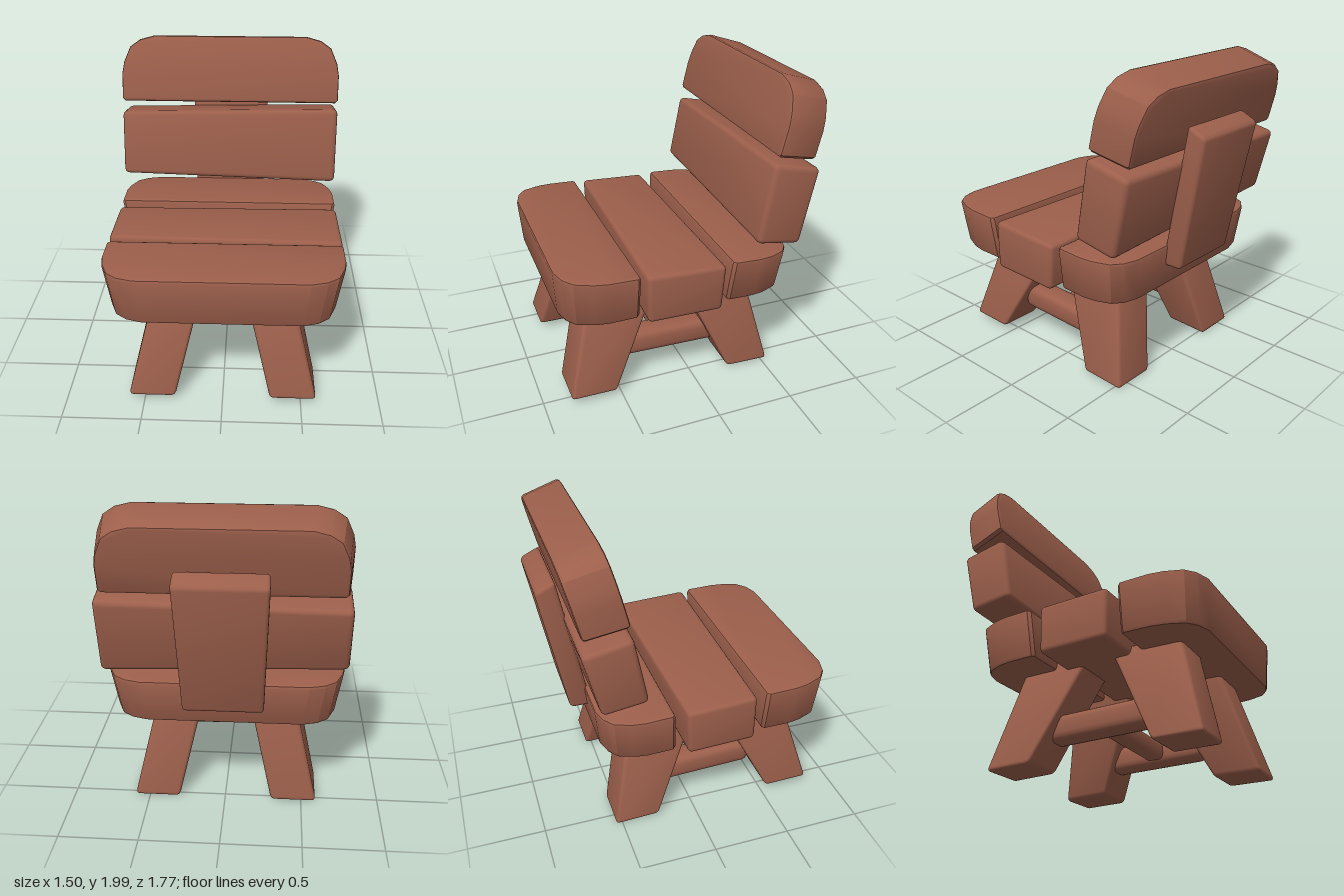
import * as THREE from 'three';
import { RoundedBoxGeometry } from 'three/addons/geometries/RoundedBoxGeometry.js';
import { toCreasedNormals } from 'three/addons/utils/BufferGeometryUtils.js';

const wood = new THREE.MeshStandardMaterial({ color: 0x9c5f4b });
const lerp = THREE.MathUtils.lerp;

// Bends a block onto side profiles. A profile lists [z, y] corners in the order
// back-bottom, back-top, front-top, front-bottom (of the block's own y and z).
// right/left are the profiles at the +x and -x ends; moveX reshapes the width.
function warp(geo, right, left = right, moveX = (x) => x) {
  geo.computeBoundingBox();
  const { min, max } = geo.boundingBox;
  const p = geo.attributes.position;
  const at = (q, i, v, w) =>
    lerp(lerp(q[0][i], q[1][i], v), lerp(q[3][i], q[2][i], v), w);
  for (let n = 0; n < p.count; n++) {
    const x = p.getX(n);
    const u = (x - min.x) / (max.x - min.x);
    const v = (p.getY(n) - min.y) / (max.y - min.y);
    const w = (p.getZ(n) - min.z) / (max.z - min.z);
    const z = lerp(at(left, 0, v, w), at(right, 0, v, w), u);
    const y = lerp(at(left, 1, v, w), at(right, 1, v, w), u);
    p.setXYZ(n, moveX(x, v, w), y, z);
  }
  return toCreasedNormals(geo, 0.5);
}

// Soft-edged squared block
const block = (w, h, d, r, ...shape) =>
  warp(new RoundedBoxGeometry(w, h, d, 2, r), ...shape);

// Plank with two rounded corners on its +y edge, narrowing towards one face
function roundedPlank(height, depth, profile, scaleBack, scaleFront) {
  const half = [[0.73, 0], [0.75, 0.04], [0.75, 0.42], [0.735, 0.6],
    [0.69, 0.83], [0.62, 0.94], [0.52, 1]];
  const pts = [...half, ...half.map(([x, v]) => [-x, v]).reverse()]
    .map(([x, v]) => new THREE.Vector2(x, v * height));
  const b = 0.02;
  const geo = new THREE.ExtrudeGeometry(new THREE.Shape(pts), {
    depth: depth - 2 * b, bevelSize: b, bevelThickness: b, bevelOffset: -b, bevelSegments: 2,
  });
  return warp(geo, profile, profile, (x, v, w) => x * lerp(scaleBack, scaleFront, w));
}

export function createModel() {
  const model = new THREE.Group();
  model.name = 'chair';
  const add = (name, geo) => {
    const mesh = new THREE.Mesh(geo, wood);
    mesh.name = name;
    model.add(mesh);
    return mesh;
  };

  // Seat
  add('frontSeatPlank', roundedPlank(0.47, 0.31,
    [[0.41, 0.945], [0.888, 0.962], [0.865, 0.64], [0.41, 0.64]], 1, 0.935));
  add('middleSeatPlank', block(1.5, 0.31, 0.49, 0.03,
    [[-0.115, 0.605], [-0.14, 0.91], [0.375, 0.937], [0.37, 0.617]],
    [[-0.1, 0.61], [-0.11, 0.915], [0.345, 0.937], [0.34, 0.625]]));
  add('rearSeatPlank', roundedPlank(0.44, 0.3,
    [[-0.168, 0.625], [-0.6, 0.612], [-0.632, 0.9], [-0.185, 0.922]], 0.935, 1));

  // Backrest
  add('lowerBackSlat', block(1.5, 0.5, 0.3, 0.035,
    [[-0.63, 0.965], [-0.737, 1.46], [-0.425, 1.53], [-0.335, 1.015]],
    [[-0.63, 1.015], [-0.733, 1.43], [-0.43, 1.495], [-0.345, 1.055]]));
  add('upperBackSlat', roundedPlank(0.44, 0.28,
    [[-0.71, 1.502], [-0.812, 1.922], [-0.55, 2.003], [-0.443, 1.568]], 0.95, 1));
  add('backPost', block(0.55, 0.9, 0.12, 0.025,
    [[-0.725, 0.757], [-0.888, 1.615], [-0.765, 1.675], [-0.585, 0.755]], undefined,
    (x, v) => x * lerp(0.9, 1, v)));

  // Splayed legs and side stretchers
  const legs = {
    FrontLeg: [[0.535, 0.04], [0.2, 0.69], [0.66, 0.69], [0.835, 0.045]],
    RearLeg: [[-0.545, 0.003], [-0.395, 0.69], [0.055, 0.69], [-0.25, 0.015]],
  };
  for (const [side, s] of [['left', 1], ['right', -1]]) {
    for (const [name, profile] of Object.entries(legs)) {
      add(side + name, block(0.295, 0.65, 0.35, 0.025, profile, undefined,
        (x, v) => x + s * lerp(0.45, 0.29, v)));
    }
    add(side + 'Stretcher', block(0.17, 0.165, 0.7, 0.05,
      [[-0.25, 0.165], [-0.25, 0.328], [0.45, 0.353], [0.45, 0.188]], undefined,
      (x) => x + s * 0.385));
  }

  // Bar joining the two side stretchers
  add('crossBar', block(0.76, 0.115, 0.13, 0.035,
    [[0.06, 0.203], [0.06, 0.315], [0.19, 0.315], [0.19, 0.203]],
    [[0.06, 0.215], [0.06, 0.328], [0.19, 0.328], [0.19, 0.215]]));

  return model;
}
